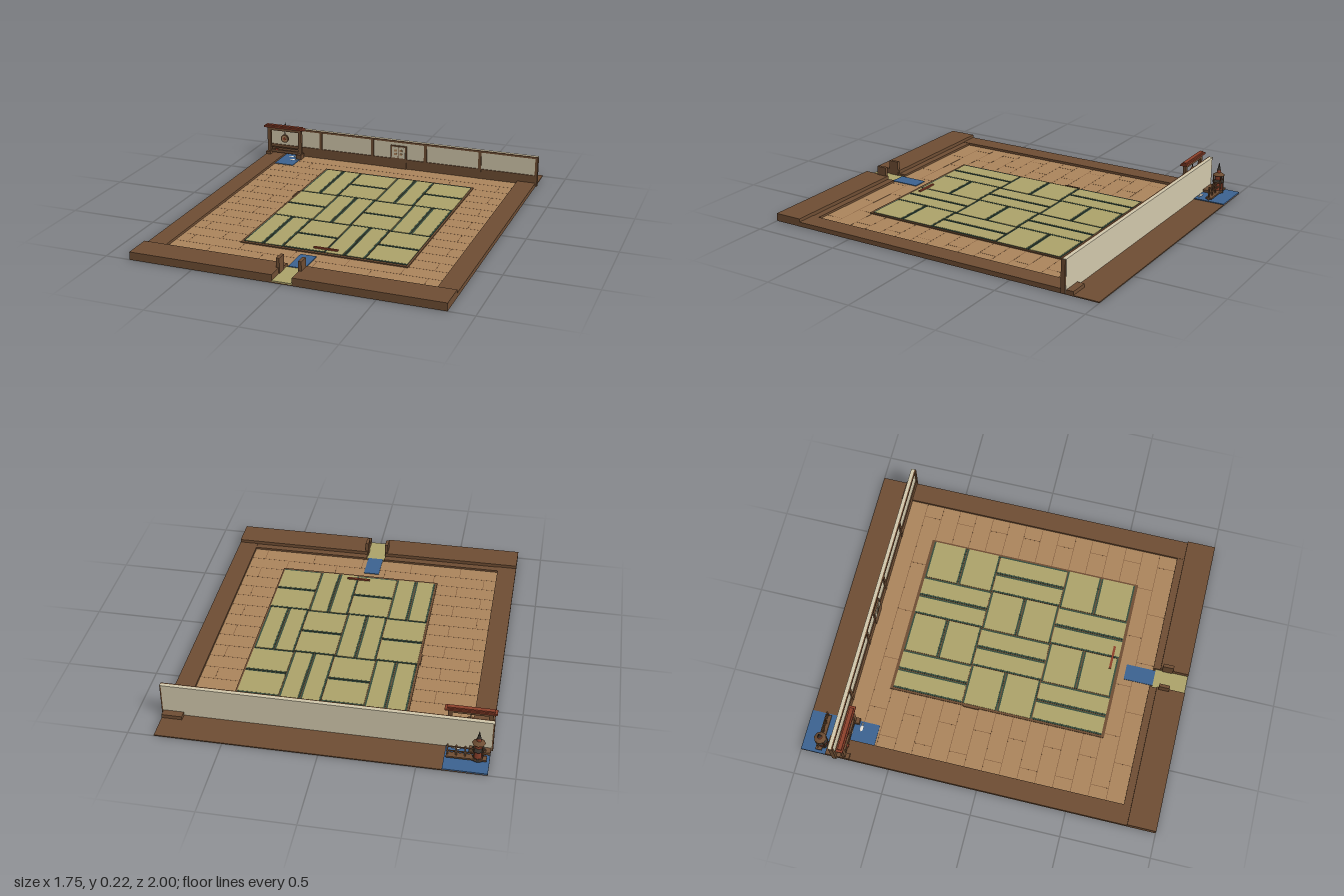
import * as THREE from 'three';

const mat = (name, color) => {
  const m = new THREE.MeshStandardMaterial({ color });
  m.name = name;
  return m;
};

export function createModel() {
  const M = {
    wood: mat('brown wood', 0x6e4d33),
    seam: mat('plank seam', 0x7d5a3c),
    plank: mat('tan plank', 0xab845b),
    straw: mat('straw mat', 0xaca269),
    band: mat('mat band', 0x354b3d),
    water: mat('blue', 0x3c6290),
    plaster: mat('cream plaster', 0xd0c6aa),
    red: mat('red tile', 0x8c402a),
    dark: mat('dark metal', 0x35302a),
    white: mat('white', 0xe4e0d6),
  };
  const root = new THREE.Group();
  root.name = 'trainingHall';
  const group = (name) => {
    const g = new THREE.Group();
    g.name = name;
    root.add(g);
    return g;
  };
  const put = (parent, name, geo, m, x, y, z) => {
    const o = new THREE.Mesh(geo, m);
    o.name = name;
    o.position.set(x, y, z);
    parent.add(o);
    return o;
  };
  // box given by its limits on each axis
  const box = (parent, name, m, x0, x1, y0, y1, z0, z1) =>
    put(parent, name, new THREE.BoxGeometry(x1 - x0, y1 - y0, z1 - z0), m,
      (x0 + x1) / 2, (y0 + y1) / 2, (z0 + z1) / 2);
  const cyl = (parent, name, m, r0, r1, h, sides, x, y, z) =>
    put(parent, name, new THREE.CylinderGeometry(r0, r1, h, sides), m, x, y, z);

  // ground slab, plank floor and raised edges
  const floor = group('floor');
  box(floor, 'groundSlab', M.wood, -0.86, 0.86, 0, 0.006, -1, 1);
  box(floor, 'plankFloor', M.plank, -0.755, 0.755, 0.006, 0.012, -0.8, 0.8);
  for (const s of [-1, 1]) {
    const [a, b] = s < 0 ? [-0.86, -0.75] : [0.75, 0.86];
    box(floor, 'sideBeam', M.wood, a, b, 0.004, 0.026, -0.86, 0.84);
    const [c, d] = s < 0 ? [-0.86, -0.055] : [0.055, 0.86];
    box(floor, 'frontStep', M.wood, c, d, 0.004, 0.044, 0.84, 1);
    box(floor, 'innerStep', M.wood, c, d, 0.004, 0.024, 0.8, 0.84);
    box(floor, 'entrancePost', M.wood, s * 0.06 - 0.009, s * 0.06 + 0.009, 0.006, 0.096, 0.85, 0.91);
  }
  box(floor, 'entranceMat', M.straw, -0.055, 0.055, 0.004, 0.012, 0.815, 1);
  box(floor, 'blueMat', M.water, -0.045, 0.045, 0.01, 0.016, 0.65, 0.815);

  // plank seams with staggered joints
  for (let i = -7; i <= 7; i++) {
    const z = i * 0.1;
    box(floor, 'plankSeam', M.seam, -0.75, 0.75, 0.011, 0.0124, z - 0.0015, z + 0.0015);
    for (let x = -0.68 + (i & 1) * 0.15; x < 0.75; x += 0.3)
      box(floor, 'plankJoint', M.seam, x - 0.0015, x + 0.0015, 0.011, 0.0124, z, z + 0.1);
  }

  // field of paired straw mats, turned in alternate cells
  const mats = group('strawMats');
  const X0 = -0.398, W = 0.2305, Z0 = -0.6, D = 0.4;
  box(mats, 'matBorder', M.wood, -0.408, 0.532, 0.01, 0.018, -0.614, 0.614);
  const oneMat = (x0, x1, z0, z1, upright) => {
    const g = 0.0025, e = 0.009;
    const [a, b, c, d] = [x0 + g, x1 - g, z0 + g, z1 - g];
    box(mats, 'matBand', M.band, a, b, 0.016, 0.021, c, d);
    if (upright) box(mats, 'matStraw', M.straw, a + e, b - e, 0.017, 0.022, c, d);
    else box(mats, 'matStraw', M.straw, a, b, 0.017, 0.022, c + e, d - e);
  };
  for (let r = 0; r < 3; r++) for (let c = 0; c < 4; c++) {
    const x = X0 + c * W, z = Z0 + r * D, upright = (r + c) % 2 === 0;
    for (let k = 0; k < 2; k++) {
      if (upright) oneMat(x + k * W / 2, x + (k + 1) * W / 2, z, z + D, true);
      else oneMat(x, x + W, z + k * D / 2, z + (k + 1) * D / 2, false);
    }
  }
  box(mats, 'practiceStick', M.red, -0.005, 0.13, 0.022, 0.03, 0.555, 0.568);
  box(mats, 'shortStick', M.wood, -0.414, -0.406, 0.012, 0.022, -0.19, -0.1);

  // back wall: plaster slab with a timber frame on its front
  const wall = group('backWall');
  box(wall, 'plasterSlab', M.plaster, -0.862, 0.862, 0.006, 0.187, -0.82, -0.802);
  box(wall, 'wallCap', M.plaster, -0.868, 0.868, 0.186, 0.189, -0.822, -0.802);
  box(wall, 'lowerPanel', M.wood, -0.862, 0.862, 0.01, 0.072, -0.803, -0.796);
  box(wall, 'topRail', M.wood, -0.868, 0.868, 0.177, 0.189, -0.803, -0.796);
  for (const x of [-0.515, -0.172, 0.172, 0.515])
    box(wall, 'wallPost', M.wood, x - 0.009, x + 0.009, 0.01, 0.187, -0.803, -0.794);
  for (const s of [-1, 1])
    box(wall, 'endPost', M.wood, s * 0.862 - 0.008, s * 0.862 + 0.008, 0.006, 0.186, -0.818, -0.794);
  // framed screen in the middle of the wall
  box(wall, 'screenFrame', M.wood, -0.052, 0.052, 0.012, 0.158, -0.8, -0.791);
  box(wall, 'screenPaper', M.plaster, -0.042, 0.042, 0.08, 0.151, -0.792, -0.789);
  for (const x of [-0.017, 0.017]) for (const y of [0.105, 0.128])
    box(wall, 'screenPane', M.plank, x - 0.009, x + 0.009, y - 0.006, y + 0.006, -0.79, -0.787);
  box(wall, 'screenBar', M.wood, -0.002, 0.002, 0.08, 0.151, -0.79, -0.786);

  // pond running under the wall
  const pond = group('pond');
  box(pond, 'backWater', M.water, -0.86, -0.63, 0.004, 0.011, -1, -0.8);
  box(pond, 'frontWater', M.water, -0.75, -0.63, 0.008, 0.015, -0.8, -0.61);
  for (const [x, z] of [[-0.69, -0.835], [-0.7, -0.755], [-0.67, -0.705]]) {
    const fish = put(pond, 'fish', new THREE.SphereGeometry(0.02, 8, 6), M.white, x, 0.014, z);
    fish.scale.set(1, 0.2, 0.5);
    const tail = put(pond, 'fishTail', new THREE.ConeGeometry(0.01, 0.018, 4), M.white, x + 0.02, 0.014, z);
    tail.rotation.z = Math.PI / 2;
    tail.scale.z = 0.6;
  }

  // roofed gate holding a round gong
  const gate = group('gongGate');
  const GX = -0.742, GZ = -0.752;
  for (const s of [-1, 1]) {
    const x = GX + s * 0.104;
    box(gate, 'gatePost', M.wood, x - 0.011, x + 0.011, 0.012, 0.195, GZ - 0.009, GZ + 0.009);
    box(gate, 'gateFoot', M.wood, x - 0.016, x + 0.016, 0.012, 0.042, GZ - 0.022, GZ + 0.03);
  }
  box(gate, 'lowerRail', M.wood, GX - 0.1, GX + 0.1, 0.035, 0.052, GZ - 0.006, GZ + 0.006);
  box(gate, 'middleRail', M.wood, GX - 0.1, GX + 0.1, 0.066, 0.073, GZ - 0.005, GZ + 0.005);
  box(gate, 'upperRail', M.wood, GX - 0.115, GX + 0.115, 0.18, 0.198, GZ - 0.009, GZ + 0.009);
  box(gate, 'gateRoof', M.red, GX - 0.135, GX + 0.133, 0.198, 0.208, GZ - 0.019, GZ + 0.019);
  box(gate, 'roofRidge', M.red, GX - 0.122, GX + 0.12, 0.208, 0.216, GZ - 0.011, GZ + 0.011);
  box(gate, 'offeringRed', M.red, -0.803, -0.785, 0.052, 0.064, GZ + 0.004, GZ + 0.014);
  box(gate, 'gongCord', M.dark, GX - 0.002, GX + 0.002, 0.155, 0.181, GZ - 0.002, GZ + 0.002);
  const gong = cyl(gate, 'gong', M.wood, 0.026, 0.026, 0.01, 20, GX, 0.131, GZ);
  gong.rotation.x = Math.PI / 2;
  const face = cyl(gate, 'gongFace', M.plank, 0.019, 0.019, 0.014, 20, GX, 0.131, GZ);
  face.rotation.x = Math.PI / 2;
  const boss = cyl(gate, 'gongBoss', M.red, 0.009, 0.009, 0.02, 12, GX, 0.131, GZ);
  boss.rotation.x = Math.PI / 2;

  // water-side footbridge with a rail
  const bridge = group('footbridge');
  box(bridge, 'bridgeDeck', M.wood, -0.845, -0.64, 0.018, 0.027, -0.92, -0.885);
  for (const x of [-0.645, -0.69, -0.735])
    box(bridge, 'railPost', M.wood, x - 0.004, x + 0.004, 0.006, 0.09, -0.906, -0.898);
  for (const y of [0.05, 0.078])
    box(bridge, 'rail', M.wood, -0.84, -0.64, y - 0.003, y + 0.003, -0.905, -0.899);

  // tiered lantern tower standing in the pond
  const tower = group('lanternTower');
  const TX = -0.8, TZ = -0.892;
  cyl(tower, 'towerBase', M.dark, 0.03, 0.034, 0.02, 8, TX, 0.018, TZ);
  cyl(tower, 'towerBody', M.red, 0.024, 0.027, 0.05, 8, TX, 0.05, TZ);
  cyl(tower, 'lowerRoof', M.dark, 0.017, 0.036, 0.015, 8, TX, 0.082, TZ);
  cyl(tower, 'upperBody', M.red, 0.021, 0.021, 0.027, 8, TX, 0.102, TZ);
  cyl(tower, 'upperRoof', M.wood, 0.01, 0.035, 0.018, 8, TX, 0.124, TZ);
  cyl(tower, 'topBody', M.red, 0.01, 0.013, 0.014, 8, TX, 0.138, TZ);
  cyl(tower, 'spire', M.dark, 0.001, 0.011, 0.043, 8, TX, 0.166, TZ);
  for (const sx of [-1, 1]) for (const sz of [-1, 1])
    box(tower, 'towerLeg', M.wood, TX + sx * 0.021 - 0.003, TX + sx * 0.021 + 0.003,
      0.02, 0.115, TZ + sz * 0.021 - 0.003, TZ + sz * 0.021 + 0.003);
  return root;
}
